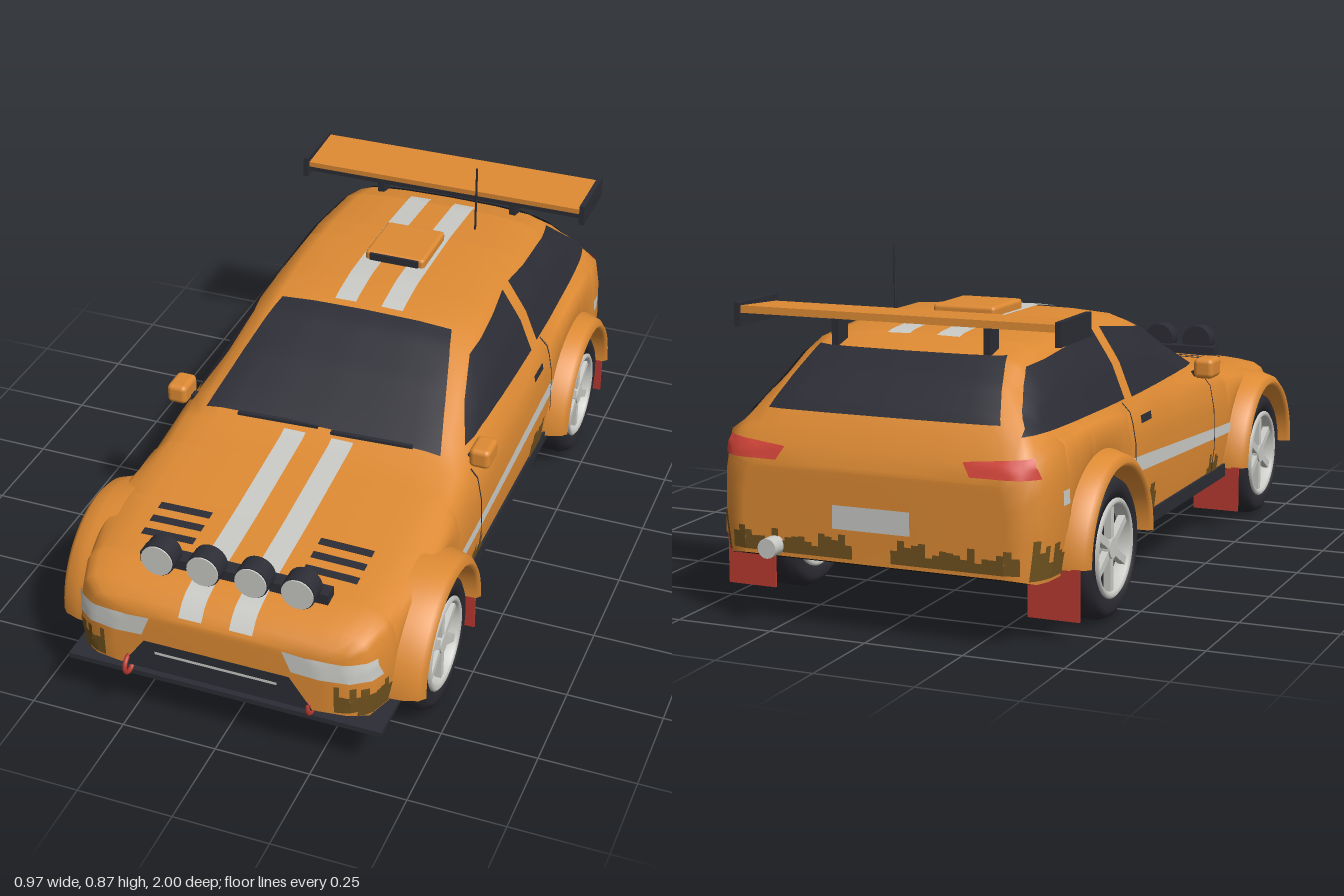
import * as THREE from 'three';
import { RoundedBoxGeometry } from 'three/addons/geometries/RoundedBoxGeometry.js';

const mat = (name, color) => {
  const m = new THREE.MeshStandardMaterial({ color, side: THREE.DoubleSide });
  m.name = name;
  return m;
};
const WHEEL_Y = 0.175, ARCH_R = 0.205, AXLES = [0.62, -0.585];

// Body stations: z, half width, belt y, belt x, roof edge x, top y
const STATIONS = [
  [0.97, 0.27, 0.33, 0.25, 0.2, 0.35],
  [0.955, 0.34, 0.36, 0.32, 0.26, 0.378],
  [0.92, 0.385, 0.375, 0.36, 0.3, 0.4],
  [0.85, 0.41, 0.387, 0.385, 0.32, 0.416],
  [0.62, 0.425, 0.412, 0.39, 0.33, 0.437],
  [0.31, 0.43, 0.445, 0.395, 0.335, 0.476],
  [0.24, 0.43, 0.455, 0.395, 0.335, 0.518],
  [0.12, 0.43, 0.465, 0.39, 0.315, 0.588],
  [0, 0.43, 0.472, 0.39, 0.3, 0.65],
  [-0.08, 0.43, 0.476, 0.39, 0.297, 0.676],
  [-0.18, 0.43, 0.48, 0.39, 0.295, 0.69],
  [-0.45, 0.43, 0.485, 0.39, 0.295, 0.692],
  [-0.65, 0.43, 0.49, 0.385, 0.285, 0.68],
  [-0.74, 0.43, 0.49, 0.382, 0.28, 0.658],
  [-0.82, 0.43, 0.49, 0.378, 0.285, 0.602],
  [-0.88, 0.425, 0.482, 0.374, 0.3, 0.545],
  [-0.915, 0.41, 0.46, 0.37, 0.31, 0.493],
  [-0.945, 0.38, 0.42, 0.35, 0.29, 0.44],
  [-0.957, 0.34, 0.385, 0.32, 0.27, 0.4],
];

function stationAt(z) {
  let i = 0;
  while (i < STATIONS.length - 2 && z < STATIONS[i + 1][0]) i++;
  const a = STATIONS[i], b = STATIONS[i + 1], t = (z - a[0]) / (b[0] - a[0]);
  return a.map((v, k) => v + (b[k] - v) * t);
}

// Half section from the sill up to the roof centre; the sill rises at the ends and over the wheels
function halfSection(z) {
  const [, w, belt, bx, rx, top] = stationAt(z);
  const crown = 0.008 + 0.017 * THREE.MathUtils.clamp((top - 0.45) / 0.2, 0, 1), ry = top - crown;
  let bot = 0.16 + 0.4 * Math.max(0, Math.abs(z) - 0.92);
  for (const a of AXLES) {
    const d = Math.abs(z - a);
    if (d <= ARCH_R) bot = Math.max(bot, WHEEL_Y + Math.sqrt(ARCH_R ** 2 - d * d));
  }
  const y = t => bot + (belt - bot) * t;
  return [[w * 0.97, bot], [w, y(0.35)], [w * 0.993, y(0.7)], [w * 0.965, y(0.92)], [bx, belt],
    [(bx + rx) / 2 + 0.01, (belt + ry) / 2 + 0.003], [rx, ry],
    [rx * 0.85, ry + crown * 0.6], [rx * 0.5, ry + crown * 0.9], [0, top]];
}

function geometry(p, ix) {
  const g = new THREE.BufferGeometry();
  g.setAttribute('position', new THREE.Float32BufferAttribute(p, 3));
  g.setIndex(ix);
  g.computeVertexNormals();
  return g;
}

// Lofted shell with closed ends, and the floor strip that also lines the wheel wells
function buildShell() {
  const zs = STATIONS.map(s => s[0]);
  for (const a of AXLES) {
    for (let k = 0; k <= 20; k++) zs.push(a + ARCH_R * Math.cos(k * Math.PI / 20));
    zs.push(a + ARCH_R + 0.001, a - ARCH_R - 0.001);
  }
  zs.sort((p, q) => q - p);
  const pos = [], idx = [], fpos = [], fidx = [], N = 19, last = (zs.length - 1) * N;
  zs.forEach((z, i) => {
    const h = halfSection(z);
    const ring = [...h, ...h.slice(0, 9).reverse().map(([x, y]) => [-x, y])];
    ring.forEach(([x, y]) => pos.push(x, y, z));
    fpos.push(h[0][0], h[0][1], z, -h[0][0], h[0][1], z);
    if (i === zs.length - 1) return;
    for (let j = 0; j < N - 1; j++) {
      const a = i * N + j, d = a + N;
      idx.push(a, d, d + 1, a, d + 1, a + 1);
    }
    const f = i * 2;
    fidx.push(f, f + 1, f + 3, f, f + 3, f + 2);
  });
  for (let j = 0; j < 9; j++) {
    idx.push(j, j + 1, 17 - j, j, 17 - j, 18 - j);
    idx.push(last + j, last + 17 - j, last + j + 1, last + j, last + 18 - j, last + 17 - j);
  }
  return [geometry(pos, idx), geometry(fpos, fidx)];
}

export function createModel() {
  const car = new THREE.Group();
  car.name = 'rallyCar';
  const paint = mat('orange paint', 0xdd8a33), dark = mat('dark trim', 0x2c2c35), under = mat('underside black', 0x1d1d20);
  const silver = mat('silver', 0xc9c9c5), red = mat('red', 0xb83a30), lamp = mat('tail lamp red', 0xd5453a);
  const mudMat = mat('mud', 0x70521f), tyreMat = mat('tyre rubber', 0x292930);
  const add = (name, geo, m, x = 0, y = 0, z = 0, parent = car) => {
    const mesh = new THREE.Mesh(geo, m);
    mesh.name = name;
    mesh.position.set(x, y, z);
    parent.add(mesh);
    return mesh;
  };
  const box = (name, m, w, h, d, x, y, z, p) => add(name, new THREE.BoxGeometry(w, h, d), m, x, y, z, p);
  const rod = (name, m, r, len, x, y, z) => {
    add(name, new THREE.CylinderGeometry(r, r, len, 24), m, x, y, z).rotation.x = Math.PI / 2;
  };

  // Body shell and floor with wheel wells
  const [shellGeo, floorGeo] = buildShell();
  const body = add('body', shellGeo, paint);
  add('floor', floorGeo, under);

  // Thin plates that follow the body: corners in (z,y) for side, (x,z) for top, (x,y) for front and back
  const VIEWS = {
    side: (u, v) => [[2, v, u], [-1, 0, 0]], top: (u, v) => [[u, 2, v], [0, -1, 0]],
    front: (u, v) => [[u, v, 2], [0, 0, -1]], back: (u, v) => [[u, v, -2], [0, 0, 1]],
  };
  const ray = new THREE.Raycaster();
  function plate(name, m, view, c, nu = 10, nv = 6, mirror = view === 'side', lift = 0.005) {
    const pts = [], ok = [], ix = [];
    for (let j = 0; j <= nv; j++) for (let i = 0; i <= nu; i++) {
      const s = i / nu, t = j / nv;
      const [u, v] = [0, 1].map(k => (c[0][k] * (1 - s) + c[1][k] * s) * (1 - t) + (c[3][k] * (1 - s) + c[2][k] * s) * t);
      const [o, d] = VIEWS[view](u, v).map(a => new THREE.Vector3(...a));
      ray.set(o, d);
      const hit = ray.intersectObject(body)[0];
      const found = !!hit && hit.distance < 2;
      ok.push(found);
      if (!found) { pts.push(0, 0.3, 0); continue; }
      const n = hit.face.normal.clone();
      if (n.dot(d) > 0) n.negate();
      pts.push(...hit.point.addScaledVector(n, lift).toArray());
    }
    for (let j = 0; j < nv; j++) for (let i = 0; i < nu; i++) {
      const a = j * (nu + 1) + i, q = [a, a + 1, a + nu + 2, a + nu + 1];
      if (q.every(k => ok[k])) ix.push(q[0], q[1], q[2], q[0], q[2], q[3]);
    }
    if (!ix.length) return;
    add(name, geometry(pts, ix), m);
    if (mirror) add(name, geometry(pts.map((p, k) => k % 3 ? p : -p), ix), m);
  }
  const rect = (u0, u1, v0, v1) => [[u0, v0], [u1, v0], [u1, v1], [u0, v1]];

  // Glass
  plate('windshield', dark, 'top', [[-0.325, 0.28], [0.325, 0.28], [0.24, -0.045], [-0.24, -0.045]], 16, 18);
  plate('doorWindow', dark, 'side', [[0.225, 0.492], [-0.285, 0.487], [-0.285, 0.66], [0, 0.622]], 18, 8);
  plate('quarterWindow', dark, 'side', [[-0.335, 0.49], [-0.895, 0.492], [-0.73, 0.625], [-0.335, 0.66]], 18, 8);
  plate('rearWindow', dark, 'back', [[-0.3, 0.515], [0.3, 0.515], [0.245, 0.648], [-0.245, 0.648]], 16, 10);

  // Stripes, vents and door details
  for (const x of [-0.066, 0.066]) {
    plate('hoodStripe', silver, 'top', rect(x - 0.03, x + 0.03, 0.965, 0.3), 3, 30);
    plate('roofStripe', silver, 'top', rect(x - 0.03, x + 0.03, -0.065, -0.67), 3, 24);
  }
  plate('sideStripe', silver, 'side', [[0.41, 0.275], [-0.375, 0.312], [-0.375, 0.352], [0.41, 0.302]], 20, 4);
  plate('rearSideStripe', silver, 'side', rect(-0.8, -0.835, 0.33, 0.365), 4, 3);
  for (const z of [0.66, 0.71, 0.76]) plate('hoodVent', dark, 'top', rect(0.145, 0.285, z - 0.012, z + 0.012), 8, 2, true);
  plate('doorHandle', dark, 'side', rect(-0.225, -0.3, 0.425, 0.445), 3, 2);
  plate('frontDoorSeam', dark, 'side', rect(0.257, 0.263, 0.19, 0.45), 1, 12);
  plate('rearDoorSeam', dark, 'side', rect(-0.357, -0.363, 0.19, 0.485), 1, 12);

  // Front and rear faces
  plate('headlight', silver, 'front', [[0.195, 0.285], [0.395, 0.275], [0.385, 0.328], [0.172, 0.342]], 14, 6, true);
  plate('grille', dark, 'front', [[-0.25, 0.182], [0.25, 0.182], [0.19, 0.268], [-0.19, 0.268]], 16, 6);
  plate('grilleBar', silver, 'front', rect(-0.16, 0.16, 0.237, 0.245), 12, 1, false, 0.009);
  plate('tailLight', lamp, 'back', [[0.25, 0.405], [0.405, 0.405], [0.39, 0.45], [0.23, 0.437]], 14, 6, true);
  plate('numberPlate', silver, 'back', rect(-0.1, 0.1, 0.255, 0.312), 6, 3);

  // Mud splashes with ragged upper edges
  let seed = 7;
  const rnd = () => (seed = (seed * 16807) % 2147483647) / 2147483647;
  function mud(view, u0, u1, v, height, cols) {
    for (let i = 0; i < cols; i++) {
      const a = u0 + (u1 - u0) * i / cols, b = u0 + (u1 - u0) * (i + 1) / cols;
      plate('mud', mudMat, view, rect(a, b, v, v + height * (0.35 + 0.65 * rnd())), 1, 5, true, 0.004);
    }
  }
  mud('side', 0.22, 0.31, 0.185, 0.06, 6);
  mud('side', -0.2, -0.31, 0.185, 0.09, 7);
  mud('side', -0.82, -0.93, 0.17, 0.1, 8);
  mud('side', 0.83, 0.94, 0.17, 0.09, 8);
  mud('front', 0.3, 0.4, 0.185, 0.085, 8);
  mud('back', 0.05, 0.37, 0.185, 0.06, 18);

  // Wheels, flares and mud flaps; each side is the other turned half round
  const lathe = (profile, ...arc) => new THREE.LatheGeometry(profile.map(p => new THREE.Vector2(...p)), 44, ...arc);
  const tread = [[0.001, 0.03], [0.115, 0.03], [0.12, 0.058], [0.15, 0.065], [0.166, 0.055], [0.175, 0.035]];
  const tyreGeo = lathe([...tread.map(([r, y]) => [r, -y]), ...tread.reverse()]);
  const rimGeo = lathe([[0.12, 0.04], [0.122, 0.062], [0.115, 0.067], [0.107, 0.062], [0.105, 0.03]]);
  const flareGeo = lathe([[0.243, 0.385], [0.238, 0.435], [0.226, 0.472], [0.21, 0.486],
    [0.198, 0.476], [0.195, 0.385]], Math.PI, Math.PI);
  AXLES.forEach((z, k) => [0, Math.PI].forEach(turn => {
    const corner = new THREE.Group();
    corner.name = (k ? 'rear' : 'front') + (turn ? 'RightCorner' : 'LeftCorner');
    corner.position.set(0, WHEEL_Y, z);
    corner.rotation.y = turn;
    car.add(corner);
    add('flare', flareGeo, paint, 0, 0, 0, corner).rotation.z = -Math.PI / 2;
    add('tyre', tyreGeo, tyreMat, 0.4, 0, 0, corner).rotation.z = -Math.PI / 2;
    for (const s of [1, -1]) {
      add('rim', rimGeo, silver, 0.4, 0, 0, corner).rotation.z = -s * Math.PI / 2;
      const hub = add('hub', new THREE.CylinderGeometry(0.026, 0.026, 0.03, 20), silver, 0.4 + s * 0.045, 0, 0, corner);
      hub.rotation.z = Math.PI / 2;
      for (let i = 0; i < 6; i++) {
        const a = i * Math.PI / 3;
        box('spoke', silver, 0.018, 0.1, 0.02, 0.4 + s * 0.047, 0.062 * Math.cos(a), 0.062 * Math.sin(a), corner).rotation.x = a;
      }
    }
    box('mudFlap', red, 0.13, 0.125, 0.006, turn ? -0.4 : 0.4, 0.115, z - 0.232);
  }));

  for (const s of [1, -1]) {
    // Sills, mirrors, fog lights and tow hooks
    box('sill', dark, 0.03, 0.035, 0.78, s * 0.412, 0.17, 0.02);
    add('mirror', new RoundedBoxGeometry(0.056, 0.055, 0.08, 3, 0.014), paint, s * 0.422, 0.487, 0.225);
    box('mirrorArm', dark, 0.05, 0.014, 0.025, s * 0.392, 0.468, 0.22);
    add('fogLight', new THREE.SphereGeometry(0.03, 20, 14), silver, s * 0.275, 0.203, 0.945).scale.z = 0.7;
    add('towHook', new THREE.TorusGeometry(0.024, 0.006, 10, 24), red, s * 0.237, 0.18, s > 0 ? 0.95 : 0.97).rotation.y = Math.PI / 2;
    // Wing mounts and end plates
    box('wingMount', dark, 0.018, 0.09, 0.05, s * 0.2, 0.682, -0.72);
    box('wingEndPlate', dark, 0.014, 0.058, 0.19, s * 0.417, 0.725, -0.742);
  }
  box('splitter', dark, 0.83, 0.014, 0.14, 0, 0.136, 0.88);
  box('wing', paint, 0.82, 0.018, 0.17, 0, 0.733, -0.745).rotation.x = 0.06;
  box('wingLip', dark, 0.82, 0.012, 0.012, 0, 0.716, -0.665);

  // Lamp bar with four round lamps
  box('lampBar', dark, 0.49, 0.028, 0.04, 0, 0.427, 0.838);
  for (const x of [-0.1825, -0.0625, 0.0625, 0.1825]) {
    rod('lampHousing', dark, 0.044, 0.05, x, 0.455, 0.868);
    rod('lampLens', silver, 0.041, 0.008, x, 0.455, 0.893);
  }

  // Roof scoop, antenna, wipers and exhaust
  add('roofScoop', new RoundedBoxGeometry(0.17, 0.034, 0.18, 3, 0.01), paint, 0, 0.702, -0.35);
  box('scoopOpening', dark, 0.14, 0.02, 0.008, 0, 0.705, -0.259);
  add('antenna', new THREE.CylinderGeometry(0.003, 0.003, 0.195, 8), dark, 0.14, 0.777, -0.54);
  for (const x of [-0.12, 0.14]) box('wiper', dark, 0.22, 0.008, 0.012, x, 0.496, 0.285).rotation.y = 0.06;
  rod('exhaust', silver, 0.024, 0.09, 0.255, 0.2, -0.955);
  return car;
}
